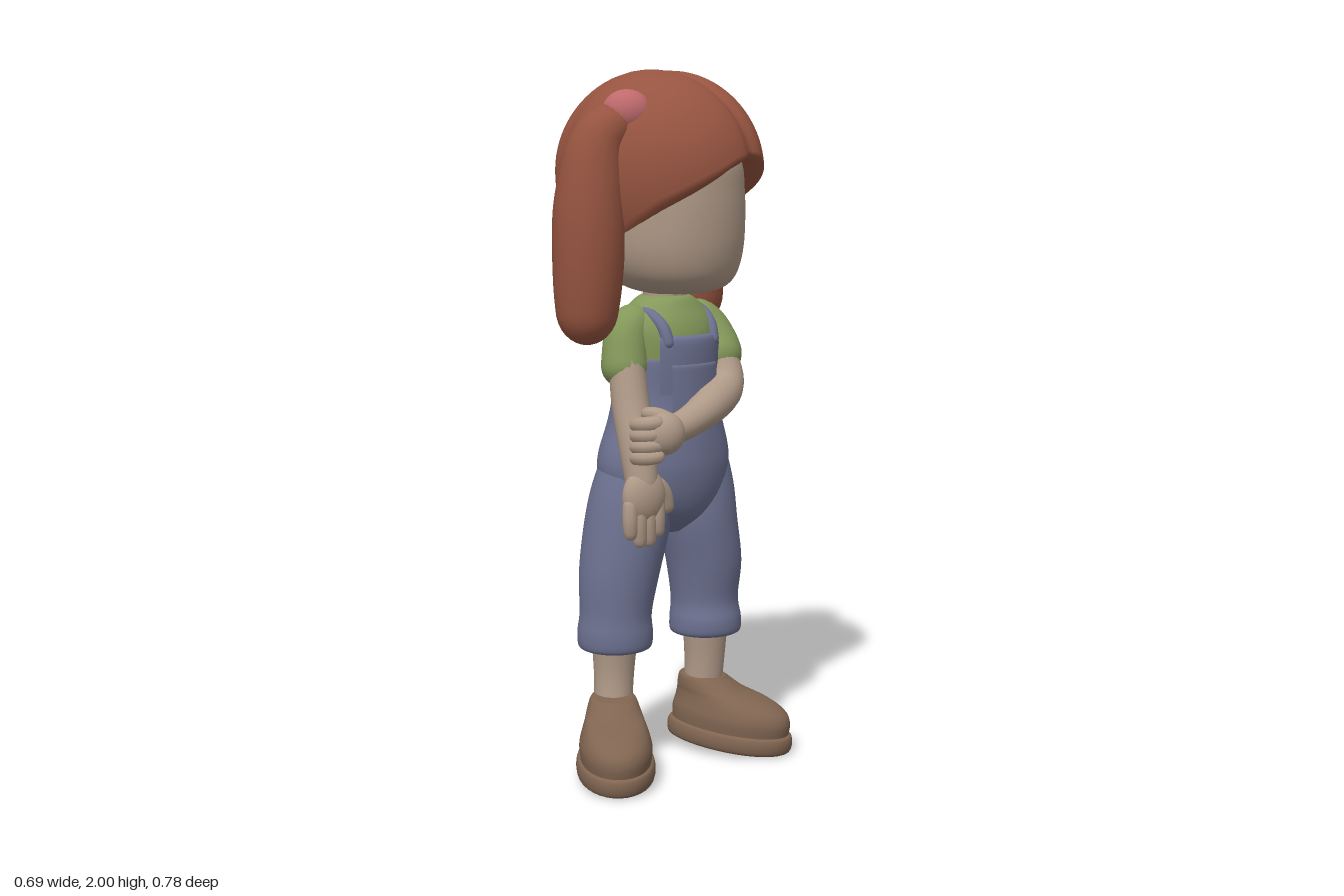
import * as THREE from 'three';

const HAIR = 0x965440, SKIN = 0xb09a88, BLUE = 0x6d7291, GREEN = 0x84985a, SHOE = 0x806551, PINK = 0xbf6a6c;
const rad = THREE.MathUtils.degToRad;

function add(parent, name, geo, color) {
  const m = new THREE.Mesh(geo, new THREE.MeshStandardMaterial({ color, side: THREE.DoubleSide, roughness: 0.8 }));
  m.name = name;
  parent.add(m);
  return m;
}

// Surface from rows of points; rows close on themselves when wrap is true
function grid(nu, nv, fn, wrap = true) {
  const pos = [], idx = [], cols = wrap ? nu : nu + 1;
  for (let j = 0; j <= nv; j++) for (let i = 0; i < cols; i++) pos.push(...fn(i / nu, j / nv));
  for (let j = 0; j < nv; j++) for (let i = 0; i < nu; i++) {
    const a = j * cols + i, b = j * cols + ((i + 1) % cols), c = a + cols, d = b + cols;
    idx.push(a, b, d, a, d, c);
  }
  const g = new THREE.BufferGeometry();
  g.setAttribute('position', new THREE.Float32BufferAttribute(pos, 3));
  g.setIndex(idx);
  g.computeVertexNormals();
  return g;
}

// Smooth interpolation through rows of numbers
function sample(rows, t) {
  const n = rows.length - 1, k = Math.min(n - 1, Math.floor(t * n)), f = t * n - k;
  const at = (i) => rows[Math.max(0, Math.min(n, i))];
  return rows[0].map((_, c) => {
    const [p, q, r, s] = [at(k - 1)[c], at(k)[c], at(k + 1)[c], at(k + 2)[c]];
    return q + 0.5 * f * (r - p + f * (2 * p - 5 * q + 4 * r - s + f * (3 * (q - r) + s - p)));
  });
}

// Horizontal ellipses [y, cx, cz, halfWidth, halfDepth] stacked into a solid
function loft(rows, toe = 0) {
  const nv = (rows.length - 1) * 5 + 2;
  return grid(36, nv, (u, v) => {
    const j = Math.round(v * nv), cap = j === 0 || j === nv ? 0 : 1;
    const [y, cx, cz, a, b] = sample(rows, Math.min(1, Math.max(0, (j - 1) / (nv - 2))));
    const s = Math.sin(u * 2 * Math.PI), c = Math.cos(u * 2 * Math.PI);
    return [cx + cap * a * s * (1 + toe * c), y, cz + cap * b * c];
  });
}

// Open curved panel over an ellipse, facing +z
function panel(rows, half) {
  return grid(20, 12, (u, v) => {
    const [y, a, b] = sample(rows, v), t = (u * 2 - 1) * half;
    return [a * Math.sin(t), y, b * Math.cos(t)];
  }, false);
}

// Round-ended limb through [x, y, z, radius]
function limb(rows, n = 32, sides = 20) {
  const curve = new THREE.CatmullRomCurve3(rows.map((p) => new THREE.Vector3(p[0], p[1], p[2])));
  const ts = Array.from({ length: n + 1 }, (_, k) => (1 - Math.cos((Math.PI * k) / n)) / 2);
  const N = 100, fr = curve.computeFrenetFrames(N), len = curve.getLength();
  return grid(sides, n, (u, v) => {
    const t = ts[Math.round(v * n)], k = Math.round(t * N), p = curve.getPointAt(t);
    const r = sample(rows, t)[3], e = Math.min(1, (Math.min(t, 1 - t) * len) / r);
    const q = r * Math.sqrt(Math.max(0, 1 - (1 - e) ** 2)), a = u * 2 * Math.PI;
    p.addScaledVector(fr.normals[k], q * Math.cos(a)).addScaledVector(fr.binormals[k], q * Math.sin(a));
    return [p.x, p.y, p.z];
  });
}

function ball(parent, name, color, [x, y, z], [a, b, c], yaw = 0) {
  const m = add(parent, name, new THREE.SphereGeometry(1, 24, 16), color);
  m.position.set(x, y, z);
  m.scale.set(a, b, c);
  m.rotation.y = yaw;
}

// Cap of hair with a parting, soft clumps and a hem that drops toward the nape
function hairCap() {
  const hem = [[0, 1.775], [20, 1.745], [43, 1.685], [65, 1.63], [95, 1.53], [130, 1.45], [180, 1.425]];
  const grooves = [[0, 0.05], [Math.PI, 0.05], [2.4, 0.045], [-2.4, 0.045]];
  const rows = 34;
  return grid(96, rows, (u, v) => {
    const phi = u * 2 * Math.PI, side = phi > Math.PI ? phi - 2 * Math.PI : phi, deg = Math.abs(side) * 180 / Math.PI;
    let k = 0;
    while (k < hem.length - 2 && deg > hem[k + 1][0]) k++;
    const y0 = THREE.MathUtils.mapLinear(deg, hem[k][0], hem[k + 1][0], hem[k][1], hem[k + 1][1]);
    const j = Math.round(v * rows), low = Math.asin((y0 - 1.72) / (y0 < 1.72 ? 0.35 : 0.29));
    const th = low + (Math.PI / 2 - low) * Math.max(0, (j - 2) / (rows - 2)), s = Math.sin(th);
    const cut = grooves.reduce((q, [g, d]) => {
      const off = Math.abs(side - g);
      return q + d * Math.exp(-((Math.min(off, 2 * Math.PI - off) / 0.1) ** 2));
    }, 0);
    const r = Math.cos(th) * (1 - cut) * (j === 0 ? 0.72 : j === 1 ? 0.93 : 1);
    const x = 0.275 * r * Math.sin(phi), z = 0.3 * r * Math.cos(phi);
    const part = j > 1 && s > 0 ? 0.03 * s * Math.exp(-((x / 0.035) ** 2)) : 0;
    return [x + 0.012, 1.72 + s * (s < 0 ? 0.35 : 0.29) - part + (j === 0 ? 0.01 : j === 1 ? -0.015 : 0), z];
  });
}

function shoe(parent, name, x, z, yaw) {
  const g = new THREE.Group();
  g.name = name;
  add(g, 'sole', loft([[0, 0, 0, 0.096, 0.18], [0.008, 0, 0, 0.108, 0.192], [0.03, 0, 0, 0.112, 0.196], [0.05, 0, 0, 0.108, 0.192], [0.056, 0, 0, 0.1, 0.182]], 0.1), SHOE);
  add(g, 'upper', loft([[0.05, 0, 0, 0.1, 0.182], [0.09, 0, 0, 0.103, 0.184], [0.12, 0, -0.006, 0.096, 0.172], [0.145, 0, -0.03, 0.086, 0.145],
    [0.165, 0, -0.07, 0.077, 0.105], [0.19, 0, -0.095, 0.066, 0.077], [0.198, 0, -0.097, 0.055, 0.066]], 0.1), SHOE);
  g.position.set(x, 0.022, z);
  g.rotation.set(0.09, yaw, 0, 'YXZ');
  parent.add(g);
}

export function createModel() {
  const model = new THREE.Group();
  model.name = 'girl';

  // Head and hair, turned toward the model's left
  const head = new THREE.Group();
  head.name = 'head';
  head.position.set(-0.05, 0, 0.02);
  head.rotation.y = rad(65);
  model.add(head);
  add(head, 'face', loft([[1.383, 0, 0.06, 0.09, 0.085], [1.398, 0, 0.058, 0.145, 0.135], [1.43, 0, 0.046, 0.19, 0.178], [1.485, 0, 0.032, 0.218, 0.21],
    [1.56, 0, 0.022, 0.23, 0.228], [1.67, 0, 0.014, 0.232, 0.235], [1.76, 0, 0.005, 0.22, 0.23], [1.86, 0, 0, 0.15, 0.16]]), SKIN);
  add(head, 'hairCap', hairCap(), HAIR);
  const mark = add(model, 'faceMark', new THREE.PlaneGeometry(0.036, 0.036), 0xcccccc);
  mark.position.set(0.199, 1.51, -0.015);
  mark.rotation.set(0, Math.PI / 2, 0.3);

  // Pigtails and their ties
  add(model, 'rightPigtail', limb([[-0.12, 1.88, 0.19, 0.06], [-0.2, 1.81, 0.215, 0.085], [-0.225, 1.66, 0.225, 0.1], [-0.23, 1.5, 0.225, 0.095], [-0.238, 1.25, 0.22, 0.077]]), HAIR);
  add(model, 'leftPigtail', limb([[0.06, 1.89, -0.18, 0.06], [0.03, 1.81, -0.235, 0.09], [0.02, 1.65, -0.262, 0.102], [0.03, 1.48, -0.28, 0.1], [0.045, 1.25, -0.295, 0.088]]), HAIR);
  ball(model, 'rightHairTie', PINK, [-0.125, 1.885, 0.2], [0.068, 0.06, 0.052], 0.1);
  ball(model, 'leftHairTie', PINK, [0.068, 1.892, -0.2], [0.068, 0.055, 0.052], -0.2);

  // Torso, facing halfway between +x and +z
  const torso = new THREE.Group();
  torso.name = 'torso';
  torso.position.set(-0.03, 0, 0);
  torso.rotation.y = rad(45);
  model.add(torso);
  add(torso, 'neck', limb([[0, 1.28, 0, 0.066], [0, 1.36, 0, 0.064], [0, 1.48, 0.01, 0.066]]), SKIN);
  add(torso, 'shirt', loft([[1.12, 0, 0, 0.15, 0.118], [1.24, 0, 0, 0.16, 0.125], [1.295, 0, 0, 0.155, 0.115], [1.335, 0, 0, 0.125, 0.095], [1.362, 0, 0, 0.09, 0.08], [1.372, 0, 0, 0.07, 0.068]]), GREEN);
  add(torso, 'overalls', loft([[0.69, 0, 0, 0.04, 0.05], [0.74, 0, 0, 0.12, 0.11], [0.8, 0, -0.005, 0.19, 0.142], [0.87, 0, -0.006, 0.215, 0.154], [0.93, 0, -0.005, 0.212, 0.152],
    [1.02, 0, 0, 0.183, 0.138], [1.1, 0, 0, 0.165, 0.13], [1.19, 0, 0, 0.163, 0.131], [1.2, 0, 0, 0.155, 0.122]]), BLUE);
  add(torso, 'bib', panel([[1.1, 0.166, 0.131], [1.18, 0.172, 0.137], [1.25, 0.172, 0.137], [1.265, 0.16, 0.122]], 0.72), BLUE);
  add(torso, 'bibPocket', panel([[1.0, 0.185, 0.136], [1.05, 0.181, 0.141], [1.15, 0.178, 0.141], [1.18, 0.176, 0.14], [1.185, 0.168, 0.132]], 0.5), BLUE);
  for (const s of [-1, 1]) {
    add(torso, 'strap', limb([[s * 0.085, 1.23, 0.112, 0.018], [s * 0.092, 1.29, 0.09, 0.018], [s * 0.1, 1.325, 0.045, 0.017], [s * 0.103, 1.335, -0.01, 0.015]], 20, 10), BLUE);
  }

  // Trouser legs with rolled cuffs
  add(model, 'leftTrouserLeg', loft([[0.36, 0.085, -0.105, 0.085, 0.085], [0.37, 0.085, -0.105, 0.105, 0.105], [0.41, 0.085, -0.105, 0.106, 0.11], [0.47, 0.082, -0.108, 0.1, 0.105],
    [0.58, 0.08, -0.1, 0.112, 0.114], [0.71, 0.062, -0.085, 0.117, 0.12], [0.82, 0.052, -0.078, 0.115, 0.112], [0.92, 0.042, -0.07, 0.1, 0.095], [1.0, 0.03, -0.05, 0.07, 0.07]]), BLUE);
  add(model, 'rightTrouserLeg', loft([[0.36, -0.17, 0.1, 0.085, 0.085], [0.37, -0.17, 0.1, 0.105, 0.1], [0.41, -0.17, 0.1, 0.109, 0.105], [0.47, -0.168, 0.1, 0.104, 0.102],
    [0.58, -0.158, 0.092, 0.116, 0.112], [0.71, -0.137, 0.082, 0.124, 0.116], [0.82, -0.12, 0.075, 0.12, 0.112], [0.92, -0.105, 0.067, 0.1, 0.095], [1.0, -0.09, 0.05, 0.07, 0.07]]), BLUE);

  // Ankles and shoes
  add(model, 'leftAnkle', loft([[0.15, 0.075, -0.122, 0.055, 0.055], [0.28, 0.083, -0.12, 0.06, 0.06], [0.42, 0.085, -0.112, 0.07, 0.07]]), SKIN);
  add(model, 'rightAnkle', loft([[0.15, -0.178, 0.105, 0.055, 0.055], [0.28, -0.175, 0.085, 0.058, 0.06], [0.42, -0.172, 0.09, 0.07, 0.07]]), SKIN);
  shoe(model, 'leftShoe', 0.155, -0.095, rad(70));
  shoe(model, 'rightShoe', -0.165, 0.2, rad(8));

  // Sleeves and arms: the left arm crosses over to hold the right forearm
  add(model, 'rightSleeve', limb([[-0.08, 1.32, 0.05, 0.05], [-0.13, 1.28, 0.1, 0.061], [-0.138, 1.21, 0.122, 0.066], [-0.135, 1.12, 0.14, 0.07]]), GREEN);
  add(model, 'leftSleeve', limb([[0.02, 1.32, -0.05, 0.05], [0.078, 1.285, -0.088, 0.06], [0.113, 1.225, -0.078, 0.067], [0.138, 1.14, -0.035, 0.068]]), GREEN);
  add(model, 'rightArm', limb([[-0.135, 1.24, 0.13, 0.05], [-0.12, 1.08, 0.165, 0.053], [-0.1, 0.97, 0.2, 0.052], [-0.08, 0.82, 0.23, 0.044]]), SKIN);
  add(model, 'leftArm', limb([[0.115, 1.23, -0.07, 0.05], [0.142, 1.115, -0.02, 0.055], [0.1, 1.065, 0.09, 0.055], [0.03, 1.025, 0.2, 0.045], [-0.03, 1.01, 0.26, 0.04]]), SKIN);

  // Hands
  ball(model, 'rightPalm', SKIN, [-0.08, 0.83, 0.23], [0.068, 0.078, 0.04], rad(37));
  ball(model, 'leftPalm', SKIN, [-0.02, 1.01, 0.262], [0.058, 0.06, 0.045], rad(25));
  for (let i = 0; i < 4; i++) {
    const o = (i - 1.5) * 0.03, tip = i === 0 || i === 3 ? 0.71 : 0.685, y = 1.045 - i * 0.031;
    add(model, 'rightFinger', limb([[-0.08 + 0.8 * o, 0.83, 0.235 - 0.6 * o, 0.021], [-0.08 + 0.8 * o, 0.76, 0.24 - 0.6 * o, 0.022], [-0.078 + 0.8 * o, tip, 0.232 - 0.6 * o, 0.019]], 14, 10), SKIN);
    add(model, 'leftFinger', limb([[-0.02, y, 0.28, 0.02], [-0.07, y - 0.005, 0.293, 0.021], [-0.112, y - 0.012, 0.255, 0.019]], 14, 10), SKIN);
  }
  add(model, 'rightThumb', limb([[-0.06, 0.87, 0.21, 0.026], [-0.03, 0.83, 0.18, 0.026], [-0.015, 0.77, 0.165, 0.02]], 14, 10), SKIN);
  add(model, 'leftThumb', limb([[0.01, 1.035, 0.25, 0.022], [-0.04, 1.06, 0.25, 0.021], [-0.085, 1.06, 0.225, 0.018]], 14, 10), SKIN);

  return model;
}
